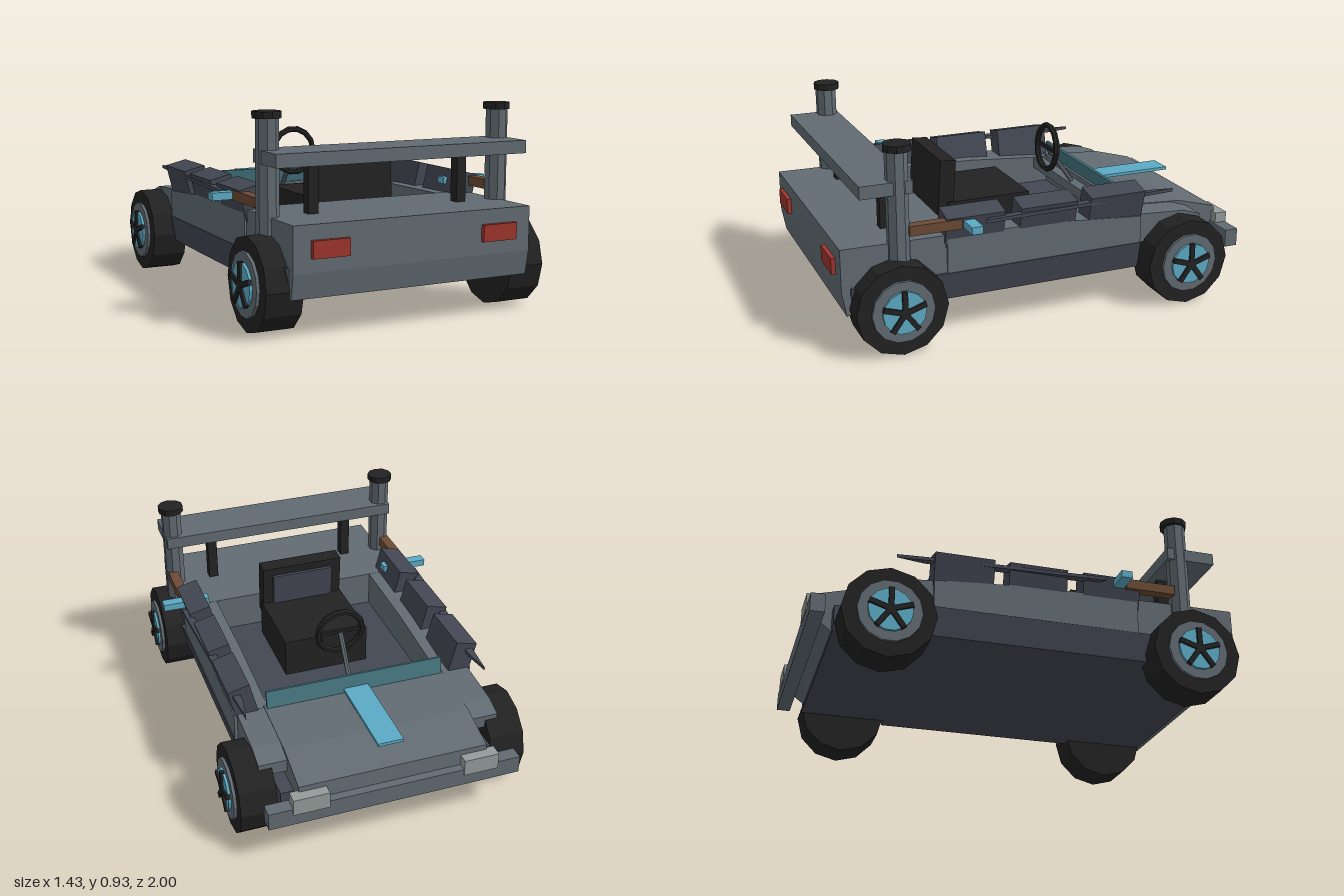
import * as THREE from 'three';

const mat = (name, color, side = THREE.FrontSide) => {
  const m = new THREE.MeshStandardMaterial({ color, side, flatShading: true });
  m.name = name;
  return m;
};

export function createModel() {
  const car = new THREE.Group();
  car.name = 'buggy';
  const grey = mat('body grey', 0x616b72);
  const slate = mat('slate', 0x434753);
  const black = mat('black', 0x222222);
  const cyan = mat('cyan', 0x5caac4);
  const teal = mat('glass teal', 0x44747f);
  const red = mat('lamp red', 0x9c352d);
  const brown = mat('brown', 0x6b4a35);
  const pale = mat('headlight grey', 0x949a9b);

  const add = (name, geo, m, x = 0, y = 0, z = 0, parent = car) => {
    const mesh = new THREE.Mesh(geo, m);
    mesh.name = name;
    mesh.position.set(x, y, z);
    parent.add(mesh);
    return mesh;
  };
  // box given by its limits on each axis
  const box = (name, m, x0, x1, y0, y1, z0, z1) =>
    add(name, new THREE.BoxGeometry(Math.abs(x1 - x0), y1 - y0, z1 - z0), m,
      (x0 + x1) / 2, (y0 + y1) / 2, (z0 + z1) / 2);
  const shapeOf = pts => new THREE.Shape(pts.map(p => new THREE.Vector2(...p)));
  // side profile of [z, y] points, extruded across x
  const profile = (name, m, pts, width, x = 0) => {
    const g = new THREE.ExtrudeGeometry(shapeOf(pts), { depth: width, bevelEnabled: false });
    g.translate(0, 0, -width / 2).rotateY(-Math.PI / 2);
    return add(name, g, m, x);
  };

  // chassis: flared sides, narrow between the front wheels
  const chassis = new THREE.ExtrudeGeometry(
    shapeOf([[-0.565, 0.18], [0.565, 0.18], [0.59, 0.31], [-0.59, 0.31]]),
    { depth: 1.4, bevelEnabled: false });
  add('chassis', chassis, slate, 0, 0, -0.46);
  box('frontChassis', slate, -0.5, 0.5, 0.18, 0.3, -0.88, -0.46);

  // hood, rear deck and dash
  profile('hood', grey, [[-0.44, 0.2], [-0.44, 0.45], [-0.75, 0.43], [-0.95, 0.375], [-0.96, 0.26], [-0.88, 0.2]], 0.88);
  profile('rearDeck', grey, [[0.45, 0.3], [0.96, 0.18], [0.98, 0.29], [0.98, 0.49], [0.45, 0.485]], 1.15);
  box('dashBar', grey, -0.43, 0.43, 0.39, 0.44, -0.42, -0.365);
  box('hoodStripe', cyan, -0.06, 0.06, 0.455, 0.47, -0.9, -0.46);
  const glass = add('windscreen', new THREE.BoxGeometry(0.86, 0.1, 0.014), teal, 0, 0.478, -0.457);
  glass.rotation.x = 0.2;

  // front bumper
  box('frontBumper', grey, -0.59, 0.59, 0.215, 0.3, -0.995, -0.93);

  // seat
  box('seatCushion', black, -0.21, 0.21, 0.31, 0.497, -0.055, 0.36);
  const back = new THREE.Group();
  back.name = 'seatBack';
  back.position.set(0, 0.565, 0.362);
  back.rotation.x = -0.07;
  car.add(back);
  add('backrest', new THREE.BoxGeometry(0.41, 0.27, 0.075), black, 0, 0, 0, back);
  add('backPad', new THREE.BoxGeometry(0.31, 0.2, 0.016), slate, 0, -0.005, -0.045, back);

  // steering
  const steering = new THREE.Group();
  steering.name = 'steeringWheel';
  steering.position.set(0, 0.638, -0.245);
  steering.rotation.x = -0.08;
  car.add(steering);
  add('steeringRim', new THREE.TorusGeometry(0.11, 0.015, 6, 14), black, 0, 0, 0, steering);
  add('steeringBar', new THREE.BoxGeometry(0.21, 0.02, 0.012), black, 0, 0, 0, steering);
  const column = add('steeringColumn', new THREE.CylinderGeometry(0.012, 0.012, 0.23, 6), grey, 0, 0.54, -0.317);
  column.rotation.x = Math.atan2(0.135, 0.19);

  // spoiler
  box('spoiler', grey, -0.61, 0.61, 0.712, 0.77, 0.66, 0.895);

  for (const s of [1, -1]) {
    // side body, rail and front fender
    profile('sideBody', grey, [[0.5, 0.3], [0.5, 0.485], [0, 0.475], [-0.46, 0.44], [-0.46, 0.3]], 0.165, s * 0.5025);
    profile('fender', grey, [[-0.45, 0.3], [-0.45, 0.445], [-0.7, 0.43], [-0.79, 0.4], [-0.79, 0.34]], 0.14, s * 0.5);

    // leaning side boxes
    for (const z of [0.3725, 0.02, -0.325]) {
      add('sideBox', new THREE.BoxGeometry(0.106, 0.154, 0.275), slate, s * 0.54, 0.508, z).rotation.z = -s * 0.24;
    }

    // long pointed side blade
    const blade = new THREE.ExtrudeGeometry(
      shapeOf([[s * 0.63, -0.335], [s * 0.59, -0.3], [s * 0.55, 0.5], [s * 0.572, 0.63], [s * 0.6, 0.3]]),
      { depth: 0.016, bevelEnabled: false });
    blade.rotateX(-Math.PI / 2);
    add('sideBlade', blade, slate, 0, 0.535, 0);

    box('sidePeg', cyan, s * 0.475, s * 0.706, 0.522, 0.556, 0.38, 0.432);
    box('sideGrip', brown, s * 0.565, s * 0.614, 0.52, 0.565, 0.44, 0.68);

    // exhaust stacks and spoiler struts
    add('stack', new THREE.CylinderGeometry(0.05, 0.05, 0.5, 8), grey, s * 0.571, 0.65, 0.72).rotation.y = Math.PI / 8;
    add('stackCap', new THREE.CylinderGeometry(0.063, 0.063, 0.03, 10), black, s * 0.571, 0.915, 0.715);
    box('spoilerStrut', black, s * 0.346, s * 0.393, 0.48, 0.715, 0.695, 0.745);

    // lamps
    box('rearLamp', red, s * 0.325, s * 0.495, 0.35, 0.425, 0.97, 1);
    box('headlight', pale, s * 0.315, s * 0.48, 0.27, 0.35, -1, -0.94);

    // wheels: axis along x, outer face away from the body
    for (const z of [0.74, -0.67]) {
      const wheel = new THREE.Group();
      wheel.name = 'wheel';
      wheel.position.set(s * 0.595, 0.212, z);
      wheel.rotation.z = -s * Math.PI / 2;
      car.add(wheel);
      const disc = (name, m, r, y0, y1, sides) =>
        add(name, new THREE.CylinderGeometry(r, r, y1 - y0, sides), m, 0, (y0 + y1) / 2, 0, wheel);
      disc('tyre', black, 0.208, -0.085, 0.083, 12);
      disc('rim', grey, 0.142, 0.05, 0.097, 14);
      disc('hubDisc', cyan, 0.098, 0.09, 0.109, 14);
      disc('hub', black, 0.025, 0.1, 0.119, 8);
      for (let i = 0; i < 5; i++) {
        const arm = new THREE.Group();
        arm.name = 'spoke';
        // one spoke points straight up
        arm.rotation.y = i * Math.PI * 2 / 5 + (s > 0 ? Math.PI : 0);
        wheel.add(arm);
        add('spokeBar', new THREE.BoxGeometry(0.1, 0.019, 0.024), black, 0.05, 0.1095, 0, arm);
      }
    }
  }
  return car;
}
